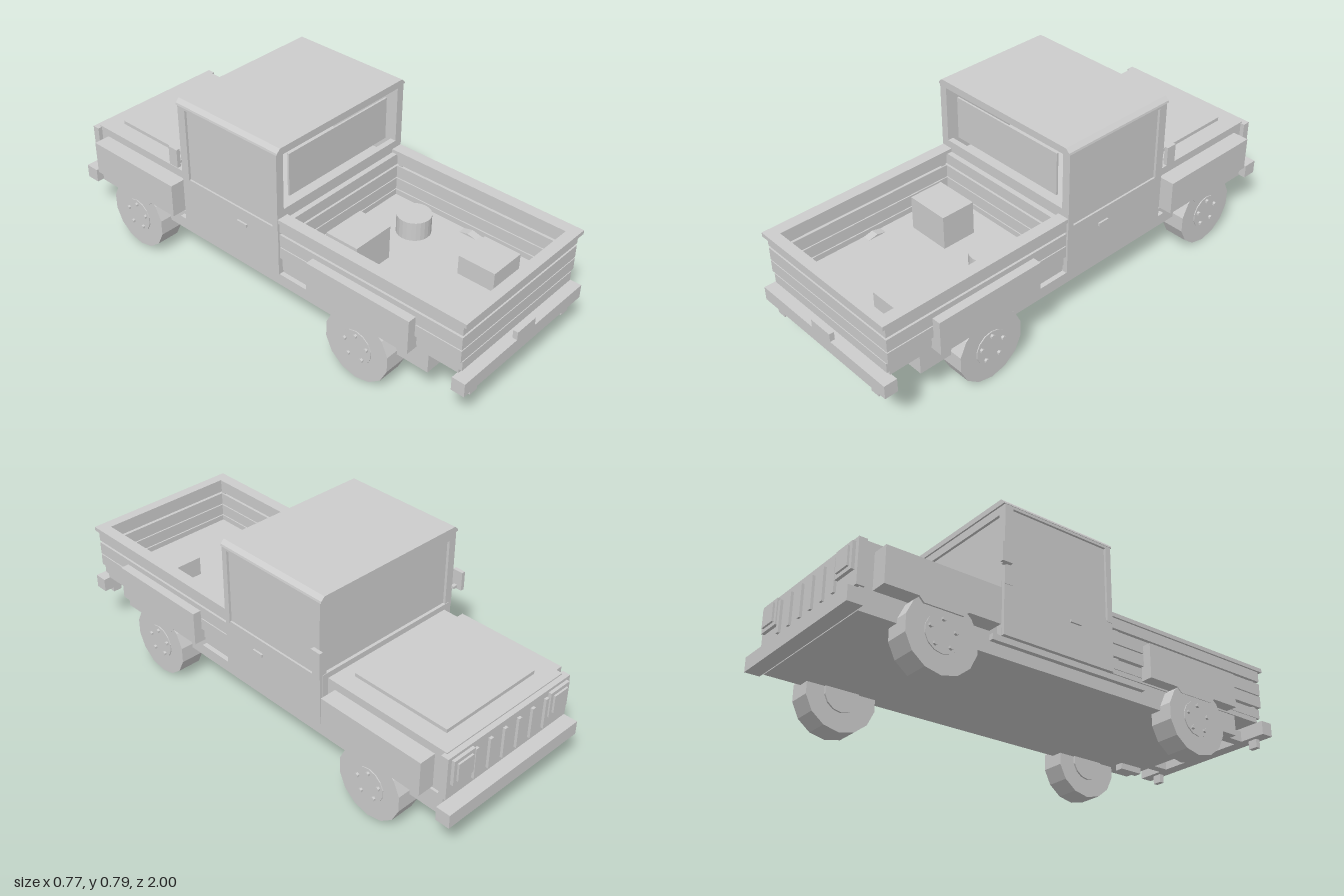
import * as THREE from 'three';

export function createModel() {
  const model = new THREE.Group();
  const paint = new THREE.MeshStandardMaterial({ color: 0xcccccc, flatShading: true });
  paint.name = 'plain grey';

  const add = (name, geometry, parent = model) => {
    const mesh = new THREE.Mesh(geometry, paint);
    mesh.name = name;
    parent.add(mesh);
    return mesh;
  };
  // Box given by its two opposite corners
  const box = (name, x0, x1, y0, y1, z0, z1, parent) =>
    add(name, new THREE.BoxGeometry(x1 - x0, y1 - y0, z1 - z0)
      .translate((x0 + x1) / 2, (y0 + y1) / 2, (z0 + z1) / 2), parent);
  // The same box on both sides
  const pair = (name, x0, x1, y0, y1, z0, z1) => {
    box(name + 'Left', x0, x1, y0, y1, z0, z1);
    box(name + 'Right', -x1, -x0, y0, y1, z0, z1);
  };
  // Side outline (z, y) extruded along x
  const sidePlate = (name, points, x0, x1) => {
    const shape = new THREE.Shape(points.map(([z, y]) => new THREE.Vector2(-z, y)));
    const g = new THREE.ExtrudeGeometry(shape, { depth: x1 - x0, bevelEnabled: false });
    add(name, g.rotateY(Math.PI / 2).translate(x0, 0, 0));
  };

  // Chassis, sills, exhaust
  box('chassis', -0.32, 0.32, 0.163, 0.25, -0.94, 0.82);
  pair('sill', 0.31, 0.34, 0.212, 0.235, -0.42, 0.3);
  box('exhaustBox', 0.203, 0.238, 0.137, 0.163, 0.68, 0.79);

  // Bumpers
  box('hoodEndBumper', -0.352, 0.352, 0.167, 0.225, -1, -0.94);
  box('bedEndBumper', -0.355, 0.355, 0.19, 0.247, 0.945, 1);
  pair('bumperMount', 0.2, 0.24, 0.19, 0.235, 0.8, 0.95);
  pair('bumperFoot', 0.26, 0.3, 0.154, 0.19, 0.965, 0.987);
  box('licencePlate', -0.055, 0.053, 0.235, 0.281, 0.98, 1);

  // Hood
  box('hoodBody', -0.31, 0.31, 0.24, 0.432, -0.935, -0.38);
  box('hoodPanel', -0.235, 0.235, 0.43, 0.447, -0.868, -0.438);

  // Grille, slats and headlights
  box('grille', -0.328, 0.328, 0.25, 0.427, -0.957, -0.925);
  for (let i = 0; i < 6; i++) {
    const x = -0.19 + i * 0.076;
    box('grilleSlat', x - 0.008, x + 0.008, 0.27, 0.4, -0.968, -0.955);
  }
  pair('headlightFrame', 0.205, 0.31, 0.31, 0.415, -0.97, -0.955);
  pair('headlight', 0.22, 0.295, 0.325, 0.4, -0.978, -0.965);

  // Fenders with sloped lower edges
  const fender = (name, z0, z1, zc, inner, outer) => {
    const outline = [[z0, 0.255], [zc - 0.1, 0.255], [zc - 0.08, 0.235], [zc + 0.08, 0.235],
      [zc + 0.1, 0.255], [z1, 0.255], [z1, 0.398], [z0, 0.398]];
    sidePlate(name + 'Left', outline, inner, outer);
    sidePlate(name + 'Right', outline, -outer, -inner);
  };
  fender('hoodFender', -0.885, -0.415, -0.65, 0.305, 0.38);
  fender('bedFender', 0.3, 0.77, 0.54, 0.325, 0.376);

  // Cab lower body and doors
  box('cabBody', -0.335, 0.335, 0.24, 0.44, -0.38, 0.135);
  pair('door', 0.33, 0.348, 0.24, 0.447, -0.378, 0.135);
  pair('doorHandle', 0.345, 0.356, 0.38, 0.392, -0.075, -0.025);
  box('cabBackWall', -0.335, 0.335, 0.43, 0.522, 0.11, 0.135);
  box('cowl', -0.335, 0.335, 0.43, 0.455, -0.38, -0.345);
  box('dashboard', -0.32, 0.32, 0.43, 0.572, -0.34, -0.25);

  // Cab frame, windows and roof
  pair('screenPillar', 0.316, 0.35, 0.44, 0.77, -0.378, -0.34);
  pair('backPillar', 0.316, 0.35, 0.44, 0.77, 0.11, 0.135);
  pair('doorTopRail', 0.316, 0.35, 0.757, 0.772, -0.34, 0.11);
  pair('sideWindow', 0.33, 0.34, 0.44, 0.76, -0.342, 0.112);
  box('screenTopRail', -0.32, 0.32, 0.735, 0.77, -0.378, -0.345);
  box('backTopRail', -0.32, 0.32, 0.757, 0.772, 0.11, 0.135);
  box('windscreen', -0.318, 0.318, 0.44, 0.745, -0.367, -0.357);
  box('backWindow', -0.27, 0.27, 0.55, 0.73, 0.112, 0.12);
  const roofShape = new THREE.Shape([[-0.352, 0.768], [0.352, 0.768], [0.35, 0.776],
    [0.334, 0.791], [-0.334, 0.791], [-0.35, 0.776]].map(p => new THREE.Vector2(...p)));
  add('roof', new THREE.ExtrudeGeometry(roofShape, { depth: 0.525, bevelEnabled: false })
    .translate(0, 0, -0.385));

  // Mirrors
  pair('mirrorArm', 0.345, 0.37, 0.514, 0.525, -0.39, -0.375);
  pair('mirror', 0.365, 0.381, 0.508, 0.587, -0.41, -0.365);

  // Bed floor and slatted walls with posts
  box('bedFloor', -0.325, 0.325, 0.248, 0.285, 0.135, 0.95);
  const slats = [[0.268, 0.308], [0.313, 0.362], [0.367, 0.42], [0.43, 0.477]];
  for (const [y0, y1] of slats) {
    const w = y0 < 0.3 ? 0.328 : 0.34;
    pair('bedSideSlat', 0.305, w, y0, y1, 0.135, 0.962);
    box('tailgateSlat', -w, w, y0, y1, 0.94, 0.965);
    box('bedHeadSlat', -w, w, y0, y1, 0.136, 0.158);
  }
  pair('bedSideRim', 0.298, 0.348, 0.474, 0.491, 0.135, 0.98);
  box('tailgateRim', -0.348, 0.348, 0.474, 0.491, 0.935, 0.98);
  for (const z of [0.16, 0.925]) pair('bedPost', 0.31, 0.328, 0.27, 0.48, z, z + 0.02);

  // Cargo
  box('tallCrate', -0.222, -0.035, 0.28, 0.428, 0.258, 0.405);
  box('lowCrate', 0.062, 0.222, 0.28, 0.366, 0.65, 0.81);
  add('barrel', new THREE.CylinderGeometry(0.069, 0.069, 0.085, 24)).position.set(0.16, 0.323, 0.365);

  // Wheels with hubs and five bolts
  const disc = (name, r, sides, x0, x1, parent) => add(name,
    new THREE.CylinderGeometry(r, r, x1 - x0, sides, 1, false, Math.PI / 2)
      .rotateZ(Math.PI / 2).translate((x0 + x1) / 2, 0, 0), parent);
  for (const side of [1, -1]) {
    for (const z of [0.54, -0.65]) {
      const wheel = new THREE.Group();
      wheel.name = 'wheel';
      wheel.position.set(0, 0.147, z);
      wheel.rotation.y = side > 0 ? 0 : Math.PI;
      disc('tyre', 0.147, 14, 0.272, 0.373, wheel);
      disc('hub', 0.072, 14, 0.264, 0.377, wheel);
      for (let i = 0; i < 5; i++) {
        const a = Math.PI / 2 + i * Math.PI * 2 / 5;
        const bolt = disc('wheelBolt', 0.009, 6, 0.37, 0.387, wheel);
        bolt.position.set(0, Math.sin(a) * 0.053, Math.cos(a) * 0.053);
      }
      model.add(wheel);
    }
  }
  return model;
}
